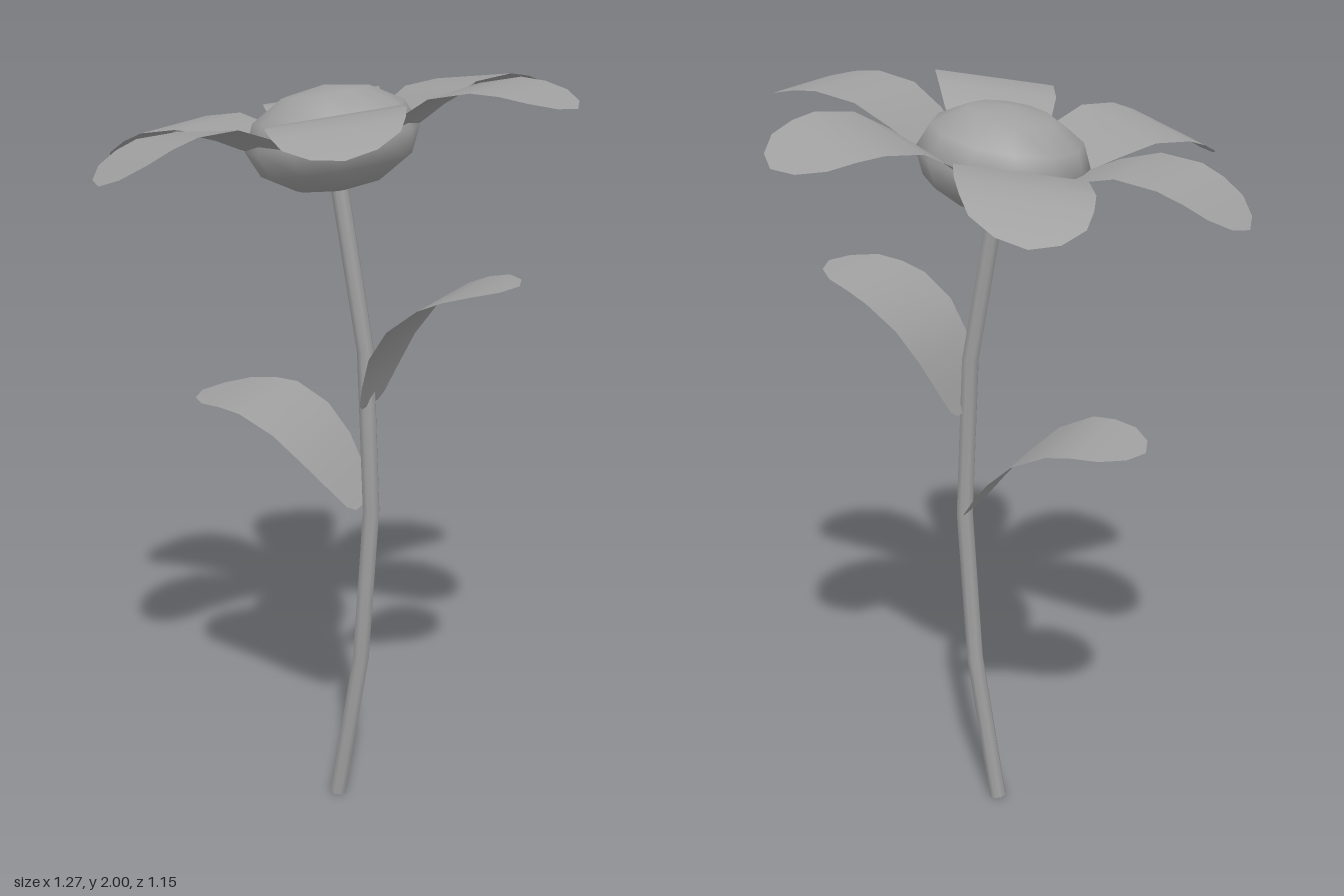
import * as THREE from 'three';

const v3 = (x, y, z = 0) => new THREE.Vector3(x, y, z);
const grey = new THREE.MeshStandardMaterial({ color: 0xa0a0a0 });
const thin = new THREE.MeshStandardMaterial({ color: 0xa0a0a0, side: THREE.DoubleSide });

// [fraction of length, half width] shared by petals and leaves
const OUTLINE = [[0, 0.045], [0.03, 0.073], [0.14, 0.103], [0.3, 0.138], [0.47, 0.156],
  [0.65, 0.16], [0.76, 0.15], [0.87, 0.13], [0.96, 0.073], [1, 0]];

// Thin blade: a side profile in the xy plane, widened along z
function blade(name, profile) {
  const curve = new THREE.CatmullRomCurve3(profile.map(([x, y]) => v3(x, y)));
  const pos = [], index = [];
  OUTLINE.forEach(([t, w], i) => {
    const p = curve.getPointAt(t);
    for (const s of [-1, 0, 1]) pos.push(p.x, p.y, s * w);
    if (i === 0) return;
    for (let k = 0; k < 2; k++) {
      const a = (i - 1) * 3 + k, b = a + 3;
      index.push(a, a + 1, b, a + 1, b + 1, b);
    }
  });
  const geo = new THREE.BufferGeometry();
  geo.setAttribute('position', new THREE.Float32BufferAttribute(pos, 3));
  geo.setIndex(index);
  geo.computeVertexNormals();
  const mesh = new THREE.Mesh(geo, thin);
  mesh.name = name;
  return mesh;
}

export function createModel() {
  const flower = new THREE.Group();
  flower.name = 'flower';

  // Bent stem with a closed foot
  const path = new THREE.CatmullRomCurve3([v3(0.015, 0.004), v3(0.085, 0.44),
    v3(0.112, 0.88), v3(0.093, 1.3), v3(0.014, 1.74)]);
  const stem = new THREE.Mesh(new THREE.TubeGeometry(path, 4, 0.023, 8), grey);
  stem.name = 'stem';
  const foot = new THREE.Mesh(new THREE.CircleGeometry(0.023, 8).rotateX(Math.PI / 2), grey);
  foot.position.set(0.015, 0.003, 0);
  foot.name = 'stemFoot';
  flower.add(stem, foot);

  // Arching leaves on either side
  flower.add(
    blade('leftLeaf', [[0.106, 1.167], [0.175, 1.345], [0.25, 1.44], [0.325, 1.487],
      [0.42, 1.518], [0.505, 1.527]]),
    blade('rightLeaf', [[0.09, 0.887], [0, 1.005], [-0.07, 1.078], [-0.125, 1.115],
      [-0.2, 1.145], [-0.28, 1.148], [-0.4, 1.133]]));

  // Tilted head: flattened centre ringed by six petals that rise from its rim, then droop
  const head = new THREE.Group();
  head.name = 'head';
  head.position.set(-0.003, 1.845, 0);
  head.rotation.z = THREE.MathUtils.degToRad(10);
  const centre = new THREE.Mesh(new THREE.SphereGeometry(0.22, 12, 6).scale(1, 0.6, 1), grey);
  centre.name = 'flowerCentre';
  head.add(centre);
  for (let i = 0; i < 6; i++) {
    const petal = blade('petal' + (i + 1), [[0.1, -0.057], [0.225, 0.025], [0.316, 0.07],
      [0.38, 0.083], [0.46, 0.079], [0.547, 0.053], [0.645, 0.004]]);
    petal.rotation.y = i * Math.PI / 3;
    head.add(petal);
  }
  flower.add(head);
  return flower;
}
